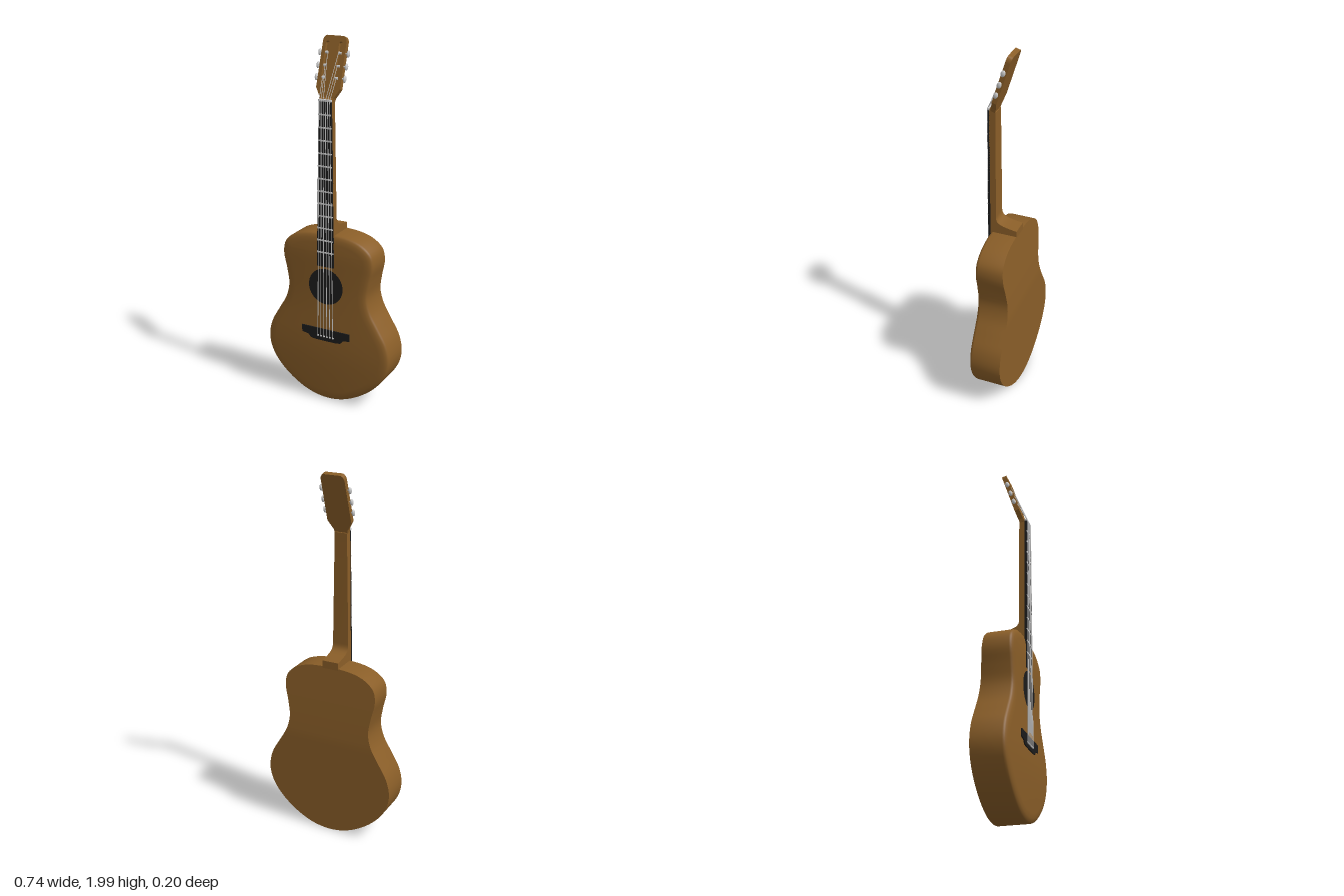
import * as THREE from 'three';
import { toCreasedNormals } from 'three/addons/utils/BufferGeometryUtils.js';

const wood = new THREE.MeshStandardMaterial({ color: 0x8a5e28 });
const black = new THREE.MeshStandardMaterial({ color: 0x1c1c1c });
const metal = new THREE.MeshStandardMaterial({ color: 0xcccccc });

const V = (x, y, z = 0) => new THREE.Vector3(x, y, z);

function add(parent, name, geometry, material, x = 0, y = 0, z = 0) {
  const mesh = new THREE.Mesh(geometry, material);
  mesh.name = name;
  mesh.position.set(x, y, z);
  parent.add(mesh);
  return mesh;
}

// Half width of the neck at a height
const neckHalf = (y) => 0.05 - (0.015 * (y - 0.8)) / 0.89;

// Scale a unit-wide geometry to the neck taper
function taper(geometry) {
  const p = geometry.attributes.position;
  for (let i = 0; i < p.count; i++) p.setX(i, p.getX(i) * 2 * neckHalf(p.getY(i)));
  const g = toCreasedNormals(geometry, 0.5);
  return g;
}

// Thin round rod between two points
function rod(parent, name, a, b, r, material, sides = 6) {
  const mesh = add(parent, name, new THREE.CylinderGeometry(r, r, a.distanceTo(b), sides), material);
  mesh.position.copy(a).add(b).multiplyScalar(0.5);
  mesh.quaternion.setFromUnitVectors(V(0, 1), b.clone().sub(a).normalize());
  return mesh;
}

// Body: outline lofted from the sloping back to the softly domed top
function bodyGeometry() {
  const half = [[0, 0.005], [0.1, 0.02], [0.2, 0.067], [0.295, 0.145], [0.352, 0.23], [0.37, 0.315],
    [0.352, 0.405], [0.305, 0.49], [0.257, 0.575], [0.238, 0.655], [0.25, 0.745], [0.268, 0.835],
    [0.255, 0.9], [0.205, 0.945], [0.13, 0.971], [0, 0.98]];
  const mirrored = half.slice(1, -1).reverse().map(([x, y]) => [-x, y]);
  const curve = new THREE.CatmullRomCurve3([...half, ...mirrored].map(([x, y]) => V(x, y)), true);
  const M = 120, N = M / 2;
  const pts = curve.getPoints(M).slice(0, M);
  const backZ = (y) => -0.095 + 0.032 * Math.pow(Math.max(0, (y - 0.56) / 0.42), 1.2);
  const rings = [[0, null], [0, 0.066], [0.003, 0.075], [0.01, 0.081], [0.025, 0.086], [0.05, 0.09]];
  const pos = [], idx = [];
  for (const [inset, z] of rings) {
    pts.forEach((p, i) => {
      const t = pts[(i + 1) % M].clone().sub(pts[(i + M - 1) % M]).normalize();
      pos.push(p.x - t.y * inset, p.y + t.x * inset, z ?? backZ(p.y));
    });
  }
  for (let r = 0; r < rings.length - 1; r++) {
    for (let i = 0; i < M; i++) {
      const a = r * M + i, b = r * M + ((i + 1) % M);
      idx.push(a, b, b + M, a, b + M, a + M);
    }
  }
  // Front and back panels as strips across the width
  const f = (rings.length - 1) * M;
  for (let i = 0; i < N; i++) {
    const r0 = i, r1 = i + 1, l0 = (M - i) % M, l1 = M - i - 1;
    if (i < N - 1) idx.push(f + r0, f + r1, f + l1, r0, l1, r1);
    if (i > 0) idx.push(f + r0, f + l1, f + l0, r0, l0, l1);
  }
  const g = new THREE.BufferGeometry();
  g.setAttribute('position', new THREE.Float32BufferAttribute(pos, 3));
  g.setIndex(idx);
  return toCreasedNormals(g, 0.6);
}

// Neck with a curved heel, drawn from the side (shape x becomes z)
function neckGeometry() {
  const s = new THREE.Shape();
  s.moveTo(0.088, 0.97);
  s.lineTo(0.088, 1.695);
  s.lineTo(0.075, 1.705);
  s.lineTo(0.053, 1.68);
  s.lineTo(0.053, 1.075);
  s.bezierCurveTo(0.053, 1.03, 0.02, 1.025, -0.064, 1.012);
  s.lineTo(-0.064, 0.97);
  const g = new THREE.ExtrudeGeometry(s, { depth: 1, bevelEnabled: false, curveSegments: 10 });
  g.translate(0, 0, -0.5);
  g.rotateY(-Math.PI / 2);
  return taper(g);
}

function headShape() {
  const s = new THREE.Shape();
  s.moveTo(-0.036, -0.005);
  s.lineTo(0.036, -0.005);
  s.lineTo(0.04, 0.015);
  s.lineTo(0.068, 0.062);
  s.lineTo(0.066, 0.295);
  s.quadraticCurveTo(0.064, 0.322, 0.045, 0.325);
  s.lineTo(-0.045, 0.325);
  s.quadraticCurveTo(-0.064, 0.322, -0.066, 0.295);
  s.lineTo(-0.068, 0.062);
  s.lineTo(-0.04, 0.015);
  return s;
}

function slotPath(cx) {
  const p = new THREE.Path(), r = 0.011;
  p.absarc(cx, 0.285, r, 0, Math.PI);
  p.absarc(cx, 0.095, r, Math.PI, Math.PI * 2);
  return p;
}

export function createModel() {
  const guitar = new THREE.Group();
  guitar.name = 'guitar';

  add(guitar, 'body', bodyGeometry(), wood);
  add(guitar, 'soundHole', new THREE.CircleGeometry(0.102, 40), black, 0, 0.685, 0.0915);
  add(guitar, 'neck', neckGeometry(), wood);

  // Fingerboard, frets and nut
  const board = new THREE.BoxGeometry(1, 0.89, 0.012);
  board.translate(0, 1.245, 0.09);
  add(guitar, 'fingerboard', taper(board), black);
  for (let i = 0; i < 12; i++) {
    const y = 1.62 - i * 0.0672;
    add(guitar, 'fret', new THREE.BoxGeometry(neckHalf(y) * 2, 0.008, 0.004), metal, 0, y, 0.0965);
  }
  add(guitar, 'nut', new THREE.BoxGeometry(0.072, 0.01, 0.014), metal, 0, 1.692, 0.092);

  // Bridge with a deeper middle
  const half = [[0.145, 0.435], [0.145, 0.395], [0.105, 0.388], [0.09, 0.37], [0.06, 0.366]];
  const outline = [...half, ...half.map(([x, y]) => [-x, y]).reverse()];
  const bridge = new THREE.Shape(outline.map(([x, y]) => new THREE.Vector2(x, y)));
  add(guitar, 'bridge', new THREE.ExtrudeGeometry(bridge, { depth: 0.01, bevelEnabled: false }), black, 0, 0, 0.086);

  // Slotted headstock, tilted back
  const head = new THREE.Group();
  head.name = 'headstock';
  head.position.set(0, 1.69, 0.08);
  head.rotation.x = -0.31;
  guitar.add(head);
  const front = headShape();
  front.holes.push(slotPath(-0.037), slotPath(0.037));
  add(head, 'headstockFront', new THREE.ExtrudeGeometry(front, { depth: 0.017, bevelEnabled: false }), wood, 0, 0, -0.017);
  add(head, 'headstockBack', new THREE.ExtrudeGeometry(headShape(), { depth: 0.009, bevelEnabled: false }), wood, 0, 0, -0.026);
  const pegY = [0.115, 0.175, 0.24];
  for (const side of [-1, 1]) {
    for (const y of pegY) {
      rod(head, 'tuningShaft', V(side * 0.02, y, -0.008), V(side * 0.08, y, -0.008), 0.004, metal, 8);
      rod(head, 'stringRoller', V(side * 0.029, y, -0.006), V(side * 0.045, y, -0.006), 0.007, metal, 10);
      const button = add(head, 'tuningButton', new THREE.SphereGeometry(1, 14, 10), metal, side * 0.08, y, -0.011);
      button.scale.set(0.008, 0.018, 0.012);
    }
  }

  // Strings run from bridge pins over the nut to the rollers
  head.updateMatrixWorld(true);
  for (let i = 0; i < 6; i++) {
    const u = (i - 2.5) / 2.5, side = Math.sign(u);
    const peg = i < 3 ? i : 5 - i;
    const low = V(u * 0.046, 0.392, 0.098), top = V(u * 0.03, 1.692, 0.1);
    const end = head.localToWorld(V(side * (0.039 - peg * 0.004), pegY[peg], 0.001));
    rod(guitar, 'string', low, top, 0.0018, metal);
    rod(guitar, 'headString', top, end, 0.0015, metal);
    add(guitar, 'bridgePin', new THREE.SphereGeometry(0.006, 10, 8), metal, low.x, low.y, 0.095);
  }
  return guitar;
}
